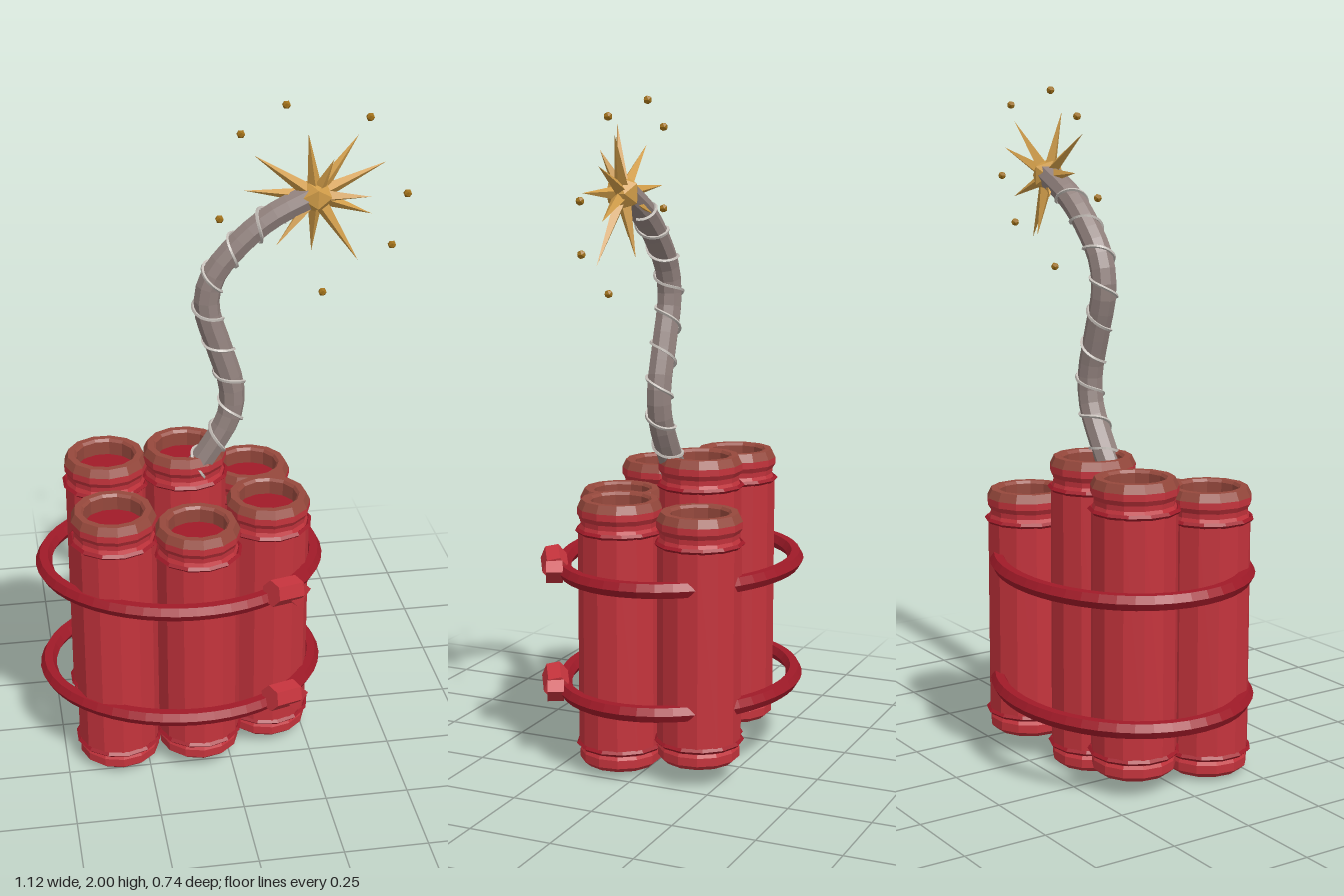
import * as THREE from 'three';

const mat = (color, side = THREE.FrontSide) =>
  new THREE.MeshStandardMaterial({ color, flatShading: true, side });
const RED = mat(0xc4333c), ROPE = mat(0xa01a28), BROWN = mat(0x96483c),
  BASE = mat(0x4a3418), FUSE = mat(0x92827e), WIRE = mat(0xc4beb8),
  GOLD = mat(0xd09c48), EMBER = mat(0xa07018);

function add(parent, name, geometry, material, x = 0, y = 0, z = 0) {
  const mesh = new THREE.Mesh(geometry, material);
  mesh.name = name;
  mesh.position.set(x, y, z);
  parent.add(mesh);
  return mesh;
}

const lathe = (pts) => new THREE.LatheGeometry(pts.map(([r, y]) => new THREE.Vector2(r, y)), 13);

// One paper tube: red body, thin bands, brown rim around a recessed top, dark base
function makeStick(name, x, z, b, t) {
  const g = new THREE.Group();
  g.name = name;
  g.position.set(x, 0, z);
  add(g, 'tubeBody', lathe([[0.105, b], [0.122, b + 0.015], [0.122, b + 0.04], [0.117, b + 0.05],
    [0.125, b + 0.065], [0.125, t - 0.095], [0.117, t - 0.075], [0.118, t - 0.06],
    [0.127, t - 0.045], [0.127, t - 0.025]]), RED);
  add(g, 'rim', lathe([[0.127, t - 0.025], [0.115, t], [0.095, t], [0.088, t - 0.008], [0.088, t - 0.06]]), BROWN);
  add(g, 'recessedTop', new THREE.CircleGeometry(0.089, 13).rotateX(-Math.PI / 2), ROPE, 0, t - 0.05);
  add(g, 'base', new THREE.CircleGeometry(0.106, 13).rotateX(Math.PI / 2), BASE, 0, b);
  for (const y of [b + 0.062, t - 0.092])
    add(g, 'band', new THREE.TorusGeometry(0.126, 0.008, 4, 13).rotateX(Math.PI / 2), ROPE, 0, y);
  return g;
}

// Oval rope loop with a knot at the front right
function makeTie(y) {
  const g = new THREE.Group();
  g.name = 'tie';
  const pts = [];
  for (let i = 0; i < 36; i++) {
    const a = (i / 36) * Math.PI * 2;
    pts.push(new THREE.Vector3(-0.12 + 0.415 * Math.cos(a), y - 0.004 * Math.sin(2 * a), 0.345 * Math.sin(a)));
  }
  add(g, 'ropeLoop', new THREE.TubeGeometry(new THREE.CatmullRomCurve3(pts, true), 48, 0.025, 6, true), ROPE);
  const knot = add(g, 'knot', new THREE.CylinderGeometry(0.04, 0.04, 0.1, 6).rotateZ(Math.PI / 2), RED, 0.15, y + 0.015, 0.295);
  knot.rotation.set(0.2, 0.5, -0.3);
  const end = add(g, 'knotEnd', new THREE.BoxGeometry(0.065, 0.04, 0.05), RED, 0.19, y - 0.003, 0.275);
  end.rotation.set(0, 0.5, 0.75);
  return g;
}

// Bent fuse with a thin wire wound around it
function makeFuse() {
  const g = new THREE.Group();
  g.name = 'fuse';
  const path = new THREE.CatmullRomCurve3([
    [-0.095, 0.85], [-0.025, 0.95], [0.035, 1.06], [0.042, 1.15], [0.005, 1.28], [-0.032, 1.41],
    [-0.015, 1.5], [0.055, 1.59], [0.15, 1.67], [0.28, 1.735],
  ].map(([x, y]) => new THREE.Vector3(x, y, -0.003)));
  add(g, 'fuseCord', new THREE.TubeGeometry(path, 26, 0.038, 8), FUSE);
  const coil = [], n = 150, side = new THREE.Vector3(0, 0, 1);
  for (let i = 0; i <= n; i++) {
    const u = 0.03 + 0.87 * (i / n), a = (i / n) * Math.PI * 2 * 9;
    const across = path.getTangentAt(u).cross(side).normalize();
    coil.push(path.getPointAt(u).addScaledVector(across, 0.04 * Math.cos(a)).addScaledVector(side, 0.04 * Math.sin(a)));
  }
  add(g, 'fuseWire', new THREE.TubeGeometry(new THREE.CatmullRomCurve3(coil), 300, 0.005, 4), WIRE);
  return g;
}

// Burst at the fuse tip: faceted core, flat star of spikes and loose embers
function makeSpark() {
  const g = new THREE.Group();
  g.name = 'spark';
  const c = new THREE.Vector3(0.28, 1.73, 0), up = new THREE.Vector3(0, 1, 0);
  add(g, 'sparkCore', new THREE.IcosahedronGeometry(0.052, 0), GOLD, c.x, c.y, c.z);
  const tips = [[0.25, 1.92, 0.03], [0.41, 1.89, -0.04], [0.1, 1.86, 0.01], [0.49, 1.81, -0.03],
    [0.43, 1.735, 0.05], [0.45, 1.66, -0.02], [0.405, 1.535, 0.02], [0.28, 1.55, -0.04],
    [0.16, 1.6, 0.04], [0.08, 1.745, -0.03], [0.32, 1.85, 0.05], [0.19, 1.67, -0.05]];
  for (const tip of tips) {
    const dir = new THREE.Vector3(...tip).sub(c), len = dir.length();
    const spike = add(g, 'spike', new THREE.ConeGeometry(0.024, len, 4).translate(0, len / 2, 0), GOLD, c.x, c.y, c.z);
    spike.quaternion.setFromUnitVectors(up, dir.normalize());
  }
  const embers = [[0.07, 1.91, -0.03], [0.2, 1.985, -0.04], [0.44, 1.94, -0.035], [0.55, 1.72, -0.005],
    [0.505, 1.575, 0.015], [0.3, 1.45, 0.035], [0.005, 1.675, 0]];
  for (const [x, y, z] of embers) add(g, 'ember', new THREE.IcosahedronGeometry(0.013, 0), EMBER, x, y, z);
  return g;
}

export function createModel() {
  const model = new THREE.Group();
  model.name = 'stickBundle';
  // x, z, bottom, top of each stick
  const sticks = [[-0.33, -0.095, 0.05, 0.915], [-0.335, 0.16, 0.01, 0.86], [-0.09, -0.08, 0, 0.935],
    [-0.09, 0.185, 0.035, 0.81], [0.125, -0.17, 0.06, 0.81], [0.14, 0.08, 0.02, 0.83]];
  sticks.forEach((s, i) => model.add(makeStick('stick' + (i + 1), ...s)));
  for (const y of [0.6, 0.23]) model.add(makeTie(y));
  model.add(makeFuse(), makeSpark());
  return model;
}
